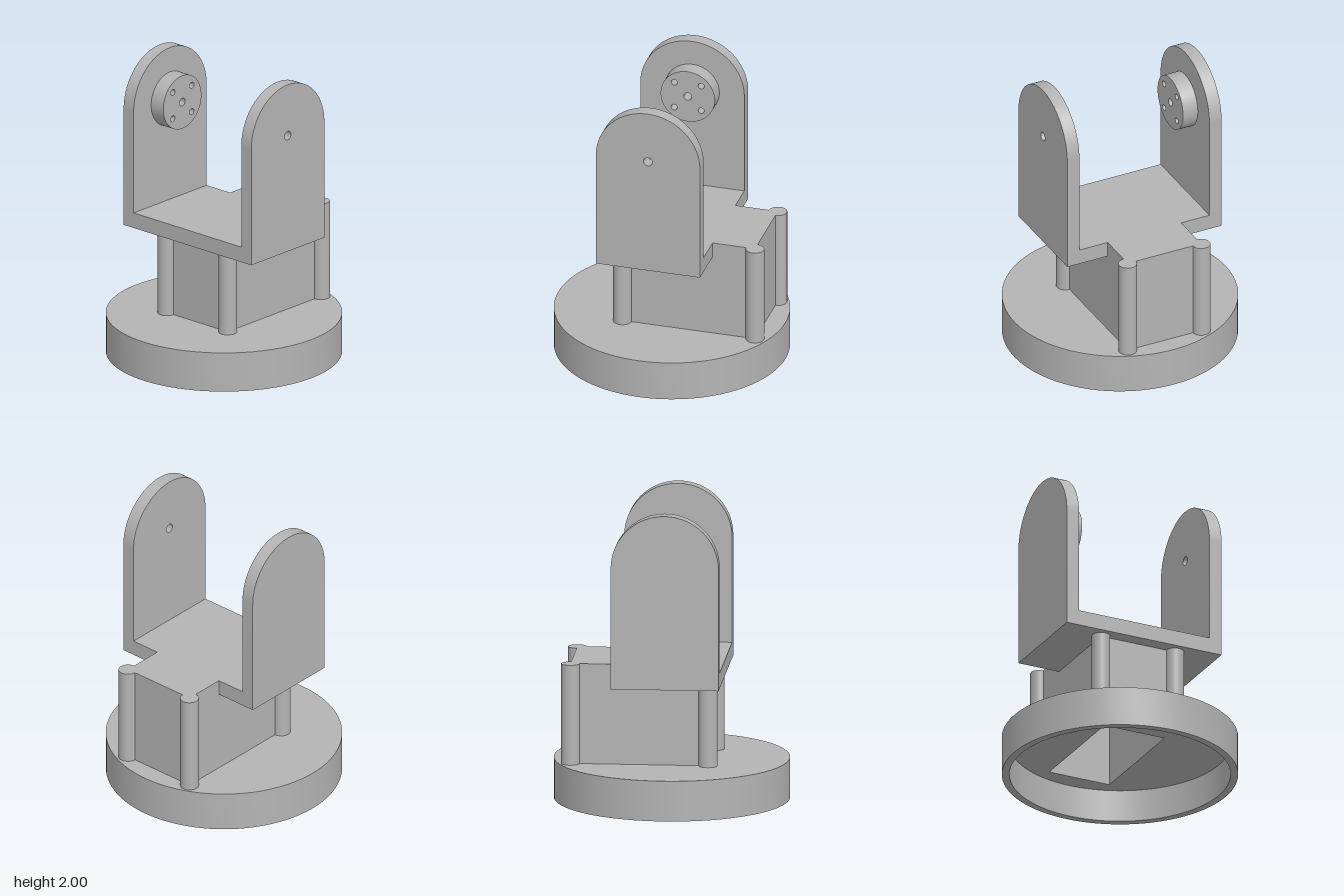
import * as THREE from 'three';
import { toCreasedNormals } from 'three/addons/utils/BufferGeometryUtils.js';

const BASE_R = 0.775, BASE_H = 0.27, WALL = 0.05;
const BOX = { x0: -0.26, x1: 0.645, z: 0.27 };
const FLOOR_Y = 0.835, TOP_Y = 0.94;
const ARM_W = 0.355, ARM_OUT = 0.567, ARM_IN = 0.478, PIVOT_Y = 1.645;

// Shape helpers
function circle(r, x = 0, y = 0, Type = THREE.Shape) {
  const s = new Type();
  s.absarc(x, y, r, 0, Math.PI * 2, false);
  return s;
}
const hole = (r, x, y) => circle(r, x, y, THREE.Path);

function rect(x0, x1, y0, y1, Type = THREE.Shape) {
  return new Type([[x0, y0], [x1, y0], [x1, y1], [x0, y1]].map(([x, y]) => new THREE.Vector2(x, y)));
}

function extrude(shape, depth, holes = []) {
  shape.holes.push(...holes);
  const g = new THREE.ExtrudeGeometry(shape, { depth, bevelEnabled: false, curveSegments: 48 });
  return toCreasedNormals(g, 0.6);
}

// Extrudes a plan shape upward from y0 to y1
function extrudeUp(shape, y0, y1, holes) {
  return extrude(shape, y1 - y0, holes).rotateX(-Math.PI / 2).translate(0, y0, 0);
}

export function createModel() {
  const model = new THREE.Group();
  model.name = 'panTiltBracket';
  const grey = new THREE.MeshStandardMaterial({ color: 0xb4b4b4 });
  grey.name = 'plainGrey';

  const add = (name, geometry, parent = model) => {
    const mesh = new THREE.Mesh(geometry, grey);
    mesh.name = name;
    parent.add(mesh);
    return mesh;
  };

  // Round base: an outer rim, and a deck opened beneath the hollow box
  const opening = () => rect(BOX.x0 + WALL, BOX.x1 - WALL, -BOX.z + WALL, BOX.z - WALL, THREE.Path);
  const base = new THREE.Group();
  base.name = 'base';
  model.add(base);
  add('baseRim', extrudeUp(circle(BASE_R), 0, BASE_H, [hole(BASE_R - WALL, 0, 0)]), base);
  add('baseDeck', extrudeUp(circle(BASE_R - WALL), BASE_H - WALL, BASE_H, [opening()]), base);

  // Hollow housing with a closed top
  const housing = new THREE.Group();
  housing.name = 'housing';
  model.add(housing);
  const plan = () => rect(BOX.x0, BOX.x1, -BOX.z, BOX.z);
  add('housingWalls', extrudeUp(plan(), BASE_H, TOP_Y - WALL, [opening()]), housing);
  add('housingTop', extrudeUp(plan(), TOP_Y - WALL, TOP_Y), housing);

  // Round posts on the four corners
  for (const x of [BOX.x0, BOX.x1]) {
    for (const z of [-BOX.z, BOX.z]) {
      const h = TOP_Y - BASE_H;
      add('cornerPost', new THREE.CylinderGeometry(0.061, 0.061, h, 40), housing)
        .position.set(x, BASE_H + h / 2, z);
    }
  }

  // U-shaped bracket: floor and two round-topped arms
  const bracket = new THREE.Group();
  bracket.name = 'bracket';
  model.add(bracket);
  add('bracketFloor', new THREE.BoxGeometry(ARM_W * 2, TOP_Y - FLOOR_Y, ARM_IN * 2), bracket)
    .position.y = (TOP_Y + FLOOR_Y) / 2;

  const armShape = () => {
    const s = new THREE.Shape();
    s.moveTo(-ARM_W, FLOOR_Y);
    s.lineTo(ARM_W, FLOOR_Y);
    s.lineTo(ARM_W, PIVOT_Y);
    s.absarc(0, PIVOT_Y, ARM_W, 0, Math.PI, false);
    s.lineTo(-ARM_W, FLOOR_Y);
    return s;
  };
  const armT = ARM_OUT - ARM_IN;
  add('frontArm', extrude(armShape(), armT, [hole(0.03, 0, PIVOT_Y)]), bracket).position.z = ARM_IN;
  add('backArm', extrude(armShape(), armT), bracket).position.z = -ARM_OUT;

  // Round mounting disc on the back arm, with a centre hole and four screw holes
  const holes = [hole(0.027, 0, 0)];
  for (const x of [-0.092, 0.092]) for (const y of [-0.092, 0.092]) holes.push(hole(0.021, x, y));
  add('mountingDisc', extrude(circle(0.185), 0.108, holes), bracket).position.set(0, PIVOT_Y, -ARM_IN);

  return model;
}
